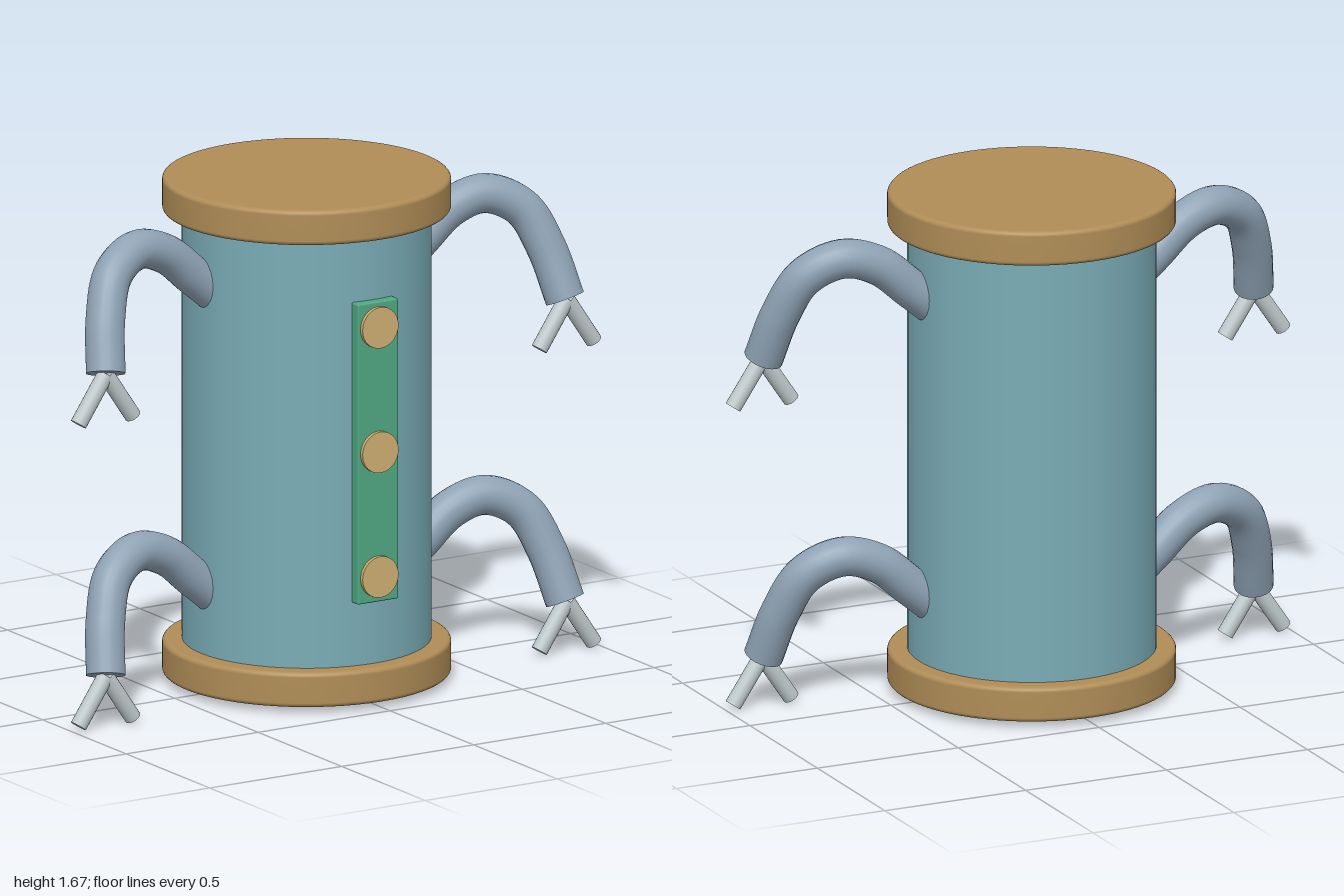
import * as THREE from 'three';
import { RoundedBoxGeometry } from 'three/addons/geometries/RoundedBoxGeometry.js';

const material = (name, color) => {
  const m = new THREE.MeshStandardMaterial({ color });
  m.name = name;
  return m;
};

export function createModel() {
  const group = new THREE.Group();
  const teal = material('teal shell', 0x7aacb6);
  const brass = material('brass', 0xb08d57);
  const steel = material('blue grey steel', 0x8fa3b5);
  const silver = material('silver', 0xc0cacc);
  const green = material('green panel', 0x4fa882);
  const gold = material('pale gold', 0xcfb072);

  const add = (parent, name, geometry, mat, x = 0, y = 0, z = 0) => {
    const mesh = new THREE.Mesh(geometry, mat);
    mesh.name = name;
    mesh.position.set(x, y, z);
    parent.add(mesh);
    return mesh;
  };

  // Cylinder between two points
  const rod = (parent, name, a, b, radius, mat) => {
    const dir = b.clone().sub(a);
    const mesh = add(parent, name, new THREE.CylinderGeometry(radius, radius, dir.length(), 20), mat);
    mesh.position.copy(a).add(b).multiplyScalar(0.5);
    mesh.quaternion.setFromUnitVectors(new THREE.Vector3(0, 1, 0), dir.normalize());
  };

  // Body
  add(group, 'body', new THREE.CylinderGeometry(0.4, 0.4, 1.46, 64), teal, 0, 0.84, 0);

  // Round end caps with softened rims
  const R = 0.463, H = 0.0575, r = 0.015;
  const profile = [new THREE.Vector2(0, -H), new THREE.Vector2(R - r - 0.002, -H)];
  for (const [cy, start] of [[-H + r, -Math.PI / 2], [H - r, 0]]) {
    for (let i = 0; i <= 5; i++) {
      const a = start + (i / 5) * Math.PI / 2;
      profile.push(new THREE.Vector2(R - r + r * Math.cos(a), cy + r * Math.sin(a)));
    }
  }
  profile.push(new THREE.Vector2(R - r - 0.002, H), new THREE.Vector2(0, H));
  const capGeometry = new THREE.LatheGeometry(profile, 64);
  add(group, 'bottomCap', capGeometry, brass, 0, 0.077, 0);
  add(group, 'topCap', capGeometry, brass, 0, 1.608, 0);

  // Front panel with three buttons
  add(group, 'frontPanel', new RoundedBoxGeometry(0.154, 0.995, 0.05, 2, 0.006), green, 0, 0.8425, 0.405);
  for (const y of [0.43, 0.843, 1.256]) {
    const button = add(group, 'button', new THREE.CylinderGeometry(0.068, 0.068, 0.03, 32), gold, 0, y, 0.428);
    button.rotation.x = Math.PI / 2;
  }

  // Bent limbs, each ending in two prongs
  const limb = (name, side, y) => {
    const g = new THREE.Group();
    g.name = name;
    g.position.y = y;
    const p = (x, py, z) => new THREE.Vector3(side * x, py, z);
    const curve = new THREE.CatmullRomCurve3([
      p(0.34, 0.315, 0), p(0.43, 0.39, 0), p(0.54, 0.48, 0.007), p(0.66, 0.514, 0.025),
      p(0.775, 0.458, 0.065), p(0.835, 0.33, 0.115), p(0.87, 0.168, 0.172),
    ]);
    add(g, 'tube', new THREE.TubeGeometry(curve, 48, 0.064, 20), steel);
    const end = curve.getPoint(1);
    const disc = add(g, 'tubeEnd', new THREE.CircleGeometry(0.064, 20), steel);
    disc.position.copy(end);
    disc.quaternion.setFromUnitVectors(new THREE.Vector3(0, 0, 1), curve.getTangent(1));
    for (const tipX of [0.77, 0.976]) {
      rod(g, 'prong', p(0.873, 0.167, 0.176), p(tipX, 0.015, 0.176), 0.027, silver);
    }
    group.add(g);
  };
  for (const [sideName, side] of [['left', 1], ['right', -1]]) {
    limb(sideName + 'Arm', side, 1);
    limb(sideName + 'Leg', side, 0);
  }
  return group;
}
